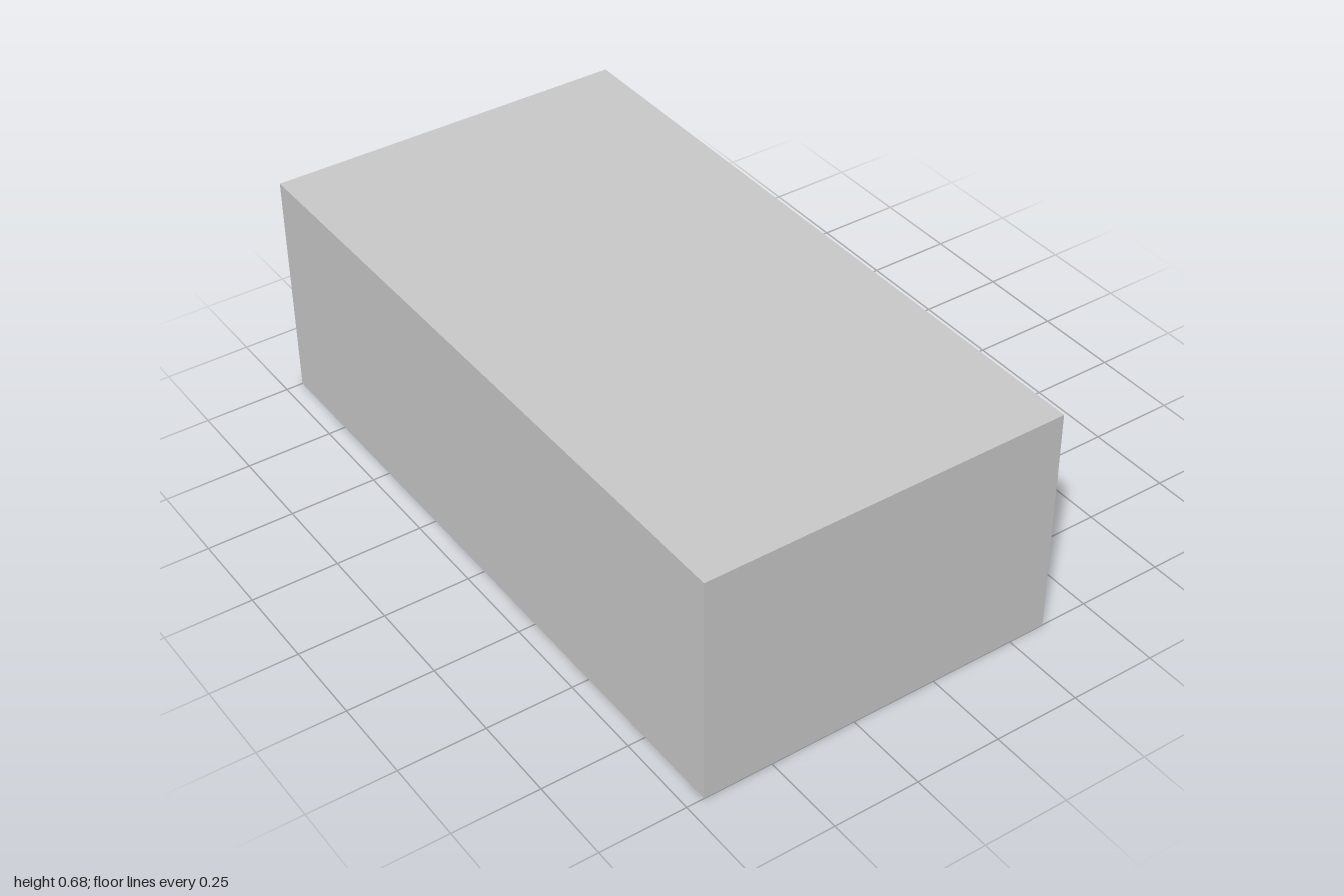
import * as THREE from 'three';

export function createModel() {
  const model = new THREE.Group();
  const material = new THREE.MeshStandardMaterial({ color: 0xcccccc, flatShading: true });

  // Overall plan: a tall hall with a low annex flush with its back
  const left = -0.7, hallRight = 0.36, annexRight = 0.7;
  const hallTop = 0.68, annexTop = 0.26, annexFront = -0.17;
  const wall = 0.02, slab = 0.04;

  function add(name, geometry) {
    const mesh = new THREE.Mesh(geometry, material);
    mesh.name = name;
    model.add(mesh);
    return mesh;
  }

  // Box given by its two opposite corners
  function block(name, x0, x1, y0, y1, z0, z1) {
    const mesh = add(name, new THREE.BoxGeometry(x1 - x0, y1 - y0, z1 - z0));
    mesh.position.set((x0 + x1) / 2, (y0 + y1) / 2, (z0 + z1) / 2);
  }

  // Hollow hall
  const back = -1 + wall;
  block('floor', left, hallRight, 0, slab, back, 1);
  block('roof', left, hallRight, hallTop - slab, hallTop, back, 1);
  block('frontWall', left, hallRight, slab, hallTop - slab, 1 - wall, 1);
  block('rightWall', left, left + wall, slab, hallTop - slab, back, 1 - wall);
  block('leftWall', hallRight - wall, hallRight, slab, hallTop - slab, back, 1 - wall);

  // Low side annex
  block('annex', hallRight, annexRight, 0, annexTop, back, annexFront);

  // Stepped back wall with three square loading openings
  const outline = new THREE.Shape([
    [left, 0], [annexRight, 0], [annexRight, annexTop],
    [hallRight, annexTop], [hallRight, hallTop], [left, hallTop],
  ].map(([x, y]) => new THREE.Vector2(x, y)));
  const half = 0.106, sill = 0.043, head = 0.256;
  for (const x of [-0.51, -0.17, 0.17]) {
    outline.holes.push(new THREE.Path([
      [x - half, sill], [x - half, head], [x + half, head], [x + half, sill],
    ].map(([px, py]) => new THREE.Vector2(px, py))));
  }
  const backWall = new THREE.ExtrudeGeometry(outline, { depth: wall, bevelEnabled: false });
  add('backWall', backWall).position.z = -1;

  return model;
}
